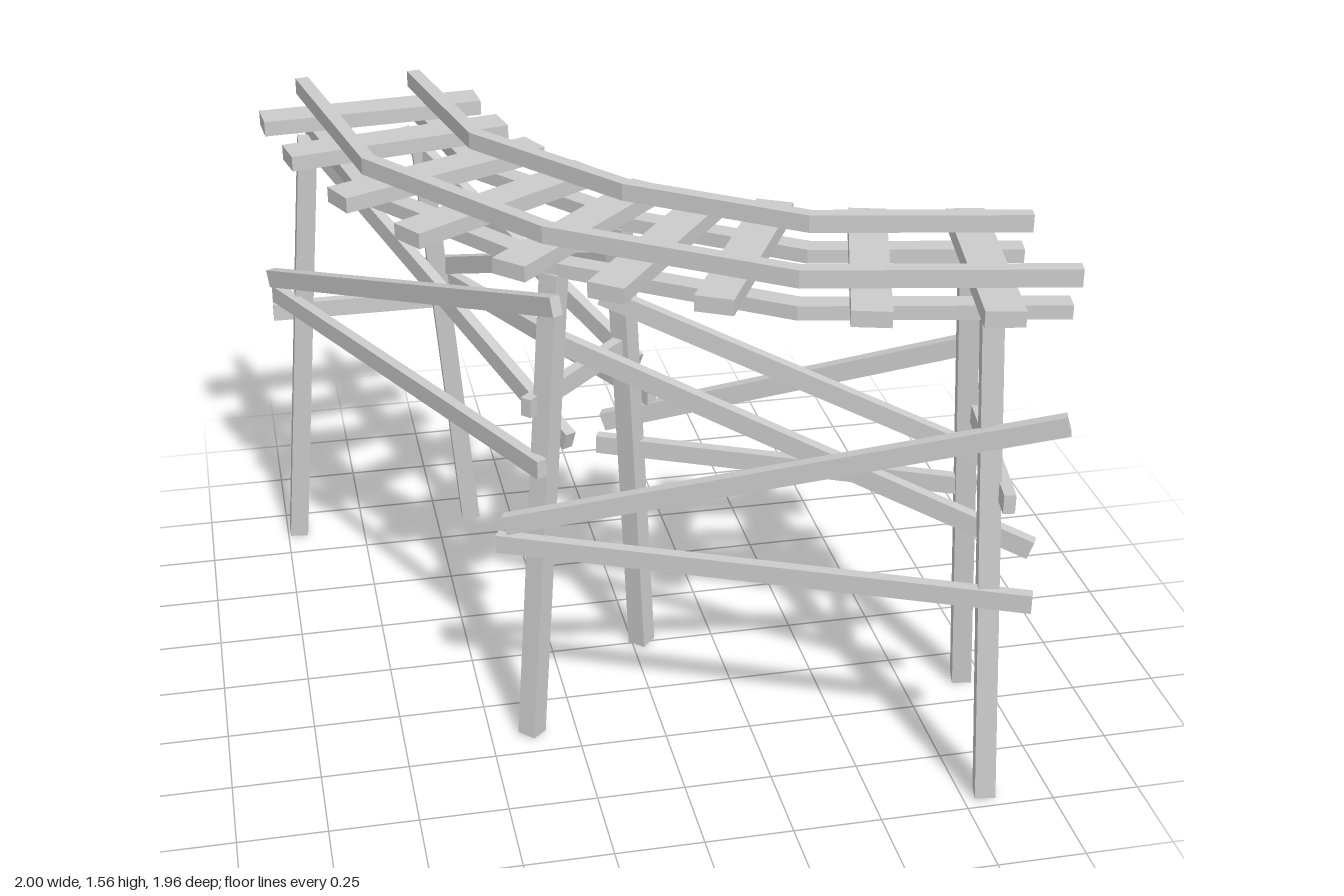
import * as THREE from 'three';

const material = new THREE.MeshStandardMaterial({ color: 0xcccccc, flatShading: true });

// Square-cut timber from a to b; side is the horizontal direction its width follows
function beam(name, a, b, width, height, side) {
  const start = new THREE.Vector3(...a), end = new THREE.Vector3(...b);
  const along = end.clone().sub(start);
  const length = along.length();
  along.normalize();
  const up = new THREE.Vector3().crossVectors(along, side).normalize();
  const across = new THREE.Vector3().crossVectors(up, along);
  const mesh = new THREE.Mesh(new THREE.BoxGeometry(width, height, length), material);
  mesh.quaternion.setFromRotationMatrix(new THREE.Matrix4().makeBasis(across, up, along));
  mesh.position.copy(start).add(end).multiplyScalar(0.5);
  mesh.name = name;
  return mesh;
}

// Brace lying flat against the side of the trestle
function brace(name, a, b) {
  const side = new THREE.Vector3(b[2] - a[2], 0, a[0] - b[0]).normalize();
  return beam(name, a, b, 0.032, 0.055, side);
}

// Mitred strip following a plan polyline of [x, z] points
function strip(name, path, width, bottom, top, trim = 0) {
  const pts = path.map(([x, z]) => new THREE.Vector2(x, z));
  const n = pts.length;
  const dirs = pts.slice(1).map((p, i) => p.clone().sub(pts[i]).normalize());
  pts[0].addScaledVector(dirs[0], trim);
  pts[n - 1].addScaledVector(dirs[n - 2], -trim);
  const left = [], right = [];
  pts.forEach((p, i) => {
    const d0 = dirs[Math.max(i - 1, 0)], d1 = dirs[Math.min(i, n - 2)];
    const t = d0.clone().add(d1).normalize();
    const miter = new THREE.Vector2(-t.y, t.x).multiplyScalar(width / 2 / t.dot(d0));
    left.push(p.clone().add(miter));
    right.unshift(p.clone().sub(miter));
  });
  const geometry = new THREE.ExtrudeGeometry(new THREE.Shape([...left, ...right]),
    { depth: top - bottom, bevelEnabled: false });
  geometry.rotateX(Math.PI / 2);
  const mesh = new THREE.Mesh(geometry, material);
  mesh.position.y = top;
  mesh.name = name;
  return mesh;
}

export function createModel() {
  const model = new THREE.Group();
  model.name = 'curvedTrackTrestle';

  // Rails and the stringers beneath the ties
  const paths = {
    outer: [[-0.845, -0.975], [-0.71, -0.27], [-0.295, 0.31], [0.29, 0.715], [0.995, 0.85]],
    inner: [[-0.5, -0.975], [-0.385, -0.41], [-0.03, 0.06], [0.41, 0.375], [0.995, 0.49]],
  };
  for (const [key, path] of Object.entries(paths)) {
    model.add(strip(key + 'Rail', path, 0.04, 1.51, 1.56));
    model.add(strip(key + 'Stringer', path, 0.06, 1.425, 1.465, 0.02));
  }

  // Cross ties: centre x, z and plan direction
  const ties = [
    [-0.65, -0.82, 124, -11], [-0.6, -0.555, 122, -25], [-0.51, -0.28, 112, -52],
    [-0.37, -0.03, 104, -67], [-0.18, 0.19, 87, -87], [0.005, 0.35, 73, -98],
    [0.215, 0.45, 57, -108], [0.515, 0.58, 33, -119], [0.81, 0.64, 21, -120],
  ];
  for (const [x, z, dx, dz] of ties) {
    const tie = new THREE.Mesh(new THREE.BoxGeometry(0.665, 0.045, 0.105), material);
    tie.position.set(x, 1.4875, z);
    tie.rotation.y = Math.atan2(-dz, dx);
    tie.name = 'tie';
    model.add(tie);
  }

  // Splayed legs: [top x, top z, foot x, foot z], paired by bent
  const bents = [
    { name: 'backBent', legs: [[-0.85, -0.79, -0.965, -0.88], [-0.51, -0.79, -0.385, -0.88]] },
    { name: 'middleBent', legs: [[-0.28, 0.33, -0.38, 0.405], [-0.05, 0.05, 0.03, -0.005]] },
    { name: 'sideBent', legs: [[0.77, 0.83, 0.815, 0.945], [0.835, 0.46, 0.935, 0.385]] },
  ];
  for (const { name, legs: [p, q] } of bents) {
    const bent = new THREE.Group();
    bent.name = name;
    const side = new THREE.Vector3(q[2] - p[2], 0, q[3] - p[3]).normalize();
    for (const [tx, tz, fx, fz] of [p, q]) {
      bent.add(beam('leg', [tx, 1.43, tz], [fx, 0.005, fz], 0.057, 0.057, side));
    }
    model.add(bent);
  }

  // Horizontal braces across each bent
  model.add(
    brace('backBentBrace', [-0.99, 0.82, -0.885], [-0.36, 0.82, -0.885]),
    brace('middleBentBrace', [-0.37, 1.05, 0.37], [0, 1.05, 0]),
    brace('sideBentBrace', [0.805, 0.952, 0.97], [0.905, 0.952, 0.36]),
  );

  // Horizontal braces between bents
  model.add(
    brace('outerBackBrace', [-0.975, 0.877, -0.9], [-0.335, 0.877, 0.41]),
    brace('innerBackBrace', [-0.42, 0.877, -0.9], [0.05, 0.877, 0.04]),
    brace('outerSideBrace', [-0.46, 0.638, 0.37], [0.895, 0.638, 0.965]),
    brace('innerSideBrace', [-0.1, 0.703, -0.03], [0.915, 0.703, 0.44]),
  );

  // Crossed diagonals between bents, one on each face of the legs
  model.add(
    brace('outerBackDiagonal', [-0.985, 0.93, -0.9], [-0.29, 1.37, 0.42]),
    brace('outerBackDiagonal', [-0.84, 1.4, -0.86], [-0.25, 0.93, 0.36]),
    brace('innerBackDiagonal', [-0.48, 0.93, -0.9], [0.01, 1.345, 0.11]),
    brace('innerBackDiagonal', [-0.55, 1.395, -0.87], [0.01, 0.98, 0.02]),
    brace('outerSideDiagonal', [-0.44, 0.71, 0.4], [0.95, 1.17, 0.965]),
    brace('outerSideDiagonal', [-0.27, 1.195, 0.26], [0.91, 0.76, 0.89]),
    brace('innerSideDiagonal', [-0.1, 1.225, 0.06], [0.95, 0.805, 0.49]),
    brace('innerSideDiagonal', [-0.08, 0.775, -0.03], [0.94, 1.17, 0.44]),
  );

  return model;
}
